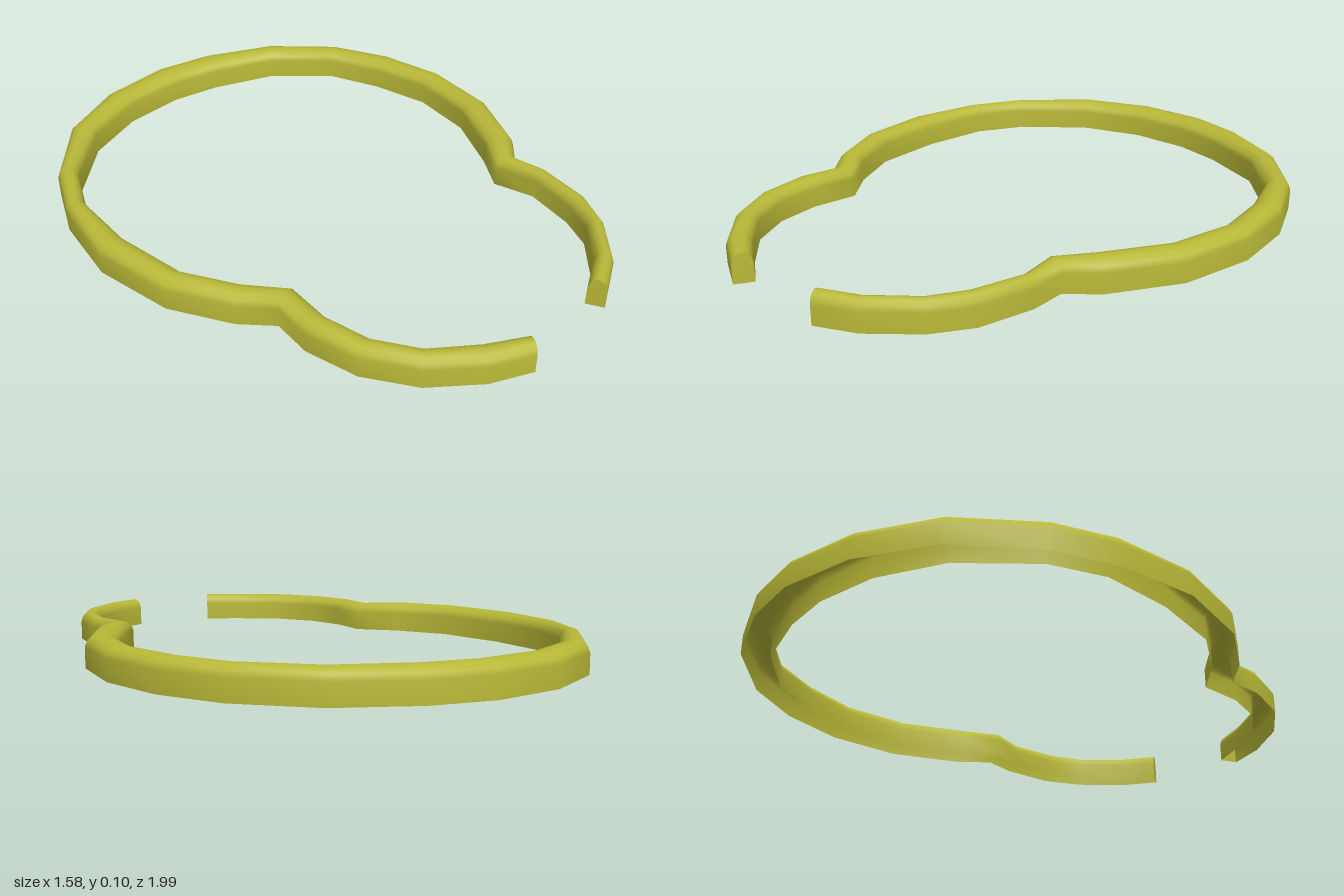
import * as THREE from 'three';

// Centre line of the band seen from above: x, z, width
const PATH = [
  [0.164, 0.946, 0.06], [0.286, 0.885, 0.06], [0.413, 0.769, 0.056], [0.476, 0.655, 0.064],
  [0.513, 0.48, 0.055], [0.492, 0.35, 0.082], [0.577, 0.255, 0.1], [0.698, 0.04, 0.1],
  [0.738, -0.199, 0.095], [0.701, -0.422, 0.1], [0.619, -0.618, 0.084], [0.444, -0.798, 0.09],
  [0.214, -0.904, 0.113], [0.026, -0.944, 0.117], [-0.201, -0.928, 0.109], [-0.426, -0.835, 0.094],
  [-0.619, -0.642, 0.068], [-0.706, -0.467, 0.066], [-0.743, -0.22, 0.095], [-0.712, 0.042, 0.087],
  [-0.616, 0.228, 0.086], [-0.524, 0.334, 0.09], [-0.542, 0.477, 0.085], [-0.513, 0.639, 0.08],
  [-0.429, 0.782, 0.075], [-0.294, 0.893, 0.08], [-0.172, 0.96, 0.064],
];

// Channel section from outer foot over the rounded top to inner foot: across, height
const SECTION = [
  [0.5, 0], [0.5, 0.65], [0.42, 0.82], [0.25, 0.95], [0, 1],
  [-0.25, 0.95], [-0.42, 0.82], [-0.5, 0.65], [-0.5, 0],
];

// One cross-section ring, set square to the path
function ring(i) {
  const [x, z, width] = PATH[i];
  const a = PATH[Math.max(i - 1, 0)], b = PATH[Math.min(i + 1, PATH.length - 1)];
  const out = new THREE.Vector2(-(b[1] - a[1]), b[0] - a[0]).normalize();
  const height = z > 0.3 ? 0.098 : 0.104;
  return SECTION.map(([s, h]) => [x + out.x * s * width, h * height, z + out.y * s * width]);
}

function surface(points, index) {
  const g = new THREE.BufferGeometry();
  g.setAttribute('position', new THREE.Float32BufferAttribute(points.flat(), 3));
  g.setIndex(index);
  g.computeVertexNormals();
  return g;
}

// Hollow band, open underneath
function bandGeometry() {
  const n = SECTION.length, index = [];
  for (let i = 0; i < PATH.length - 1; i++) {
    for (let j = 0; j < n - 1; j++) {
      const a = i * n + j, b = a + n;
      index.push(a, b, a + 1, b, b + 1, a + 1);
    }
  }
  return surface(PATH.flatMap((_, i) => ring(i)), index);
}

// Flat plate closing one end of the band
function capGeometry(i, flip) {
  const index = [];
  for (let j = 1; j < SECTION.length - 1; j++) {
    index.push(0, flip ? j + 1 : j, flip ? j : j + 1);
  }
  return surface(ring(i), index);
}

export function createModel() {
  const olive = new THREE.MeshStandardMaterial({ color: 0xb8b838, side: THREE.DoubleSide });
  olive.name = 'olive yellow';
  const group = new THREE.Group();
  group.name = 'openBand';
  const add = (name, geometry) => {
    const mesh = new THREE.Mesh(geometry, olive);
    mesh.name = name;
    group.add(mesh);
  };
  add('band', bandGeometry());
  add('leftEndCap', capGeometry(0, false));
  add('rightEndCap', capGeometry(PATH.length - 1, true));
  return group;
}
